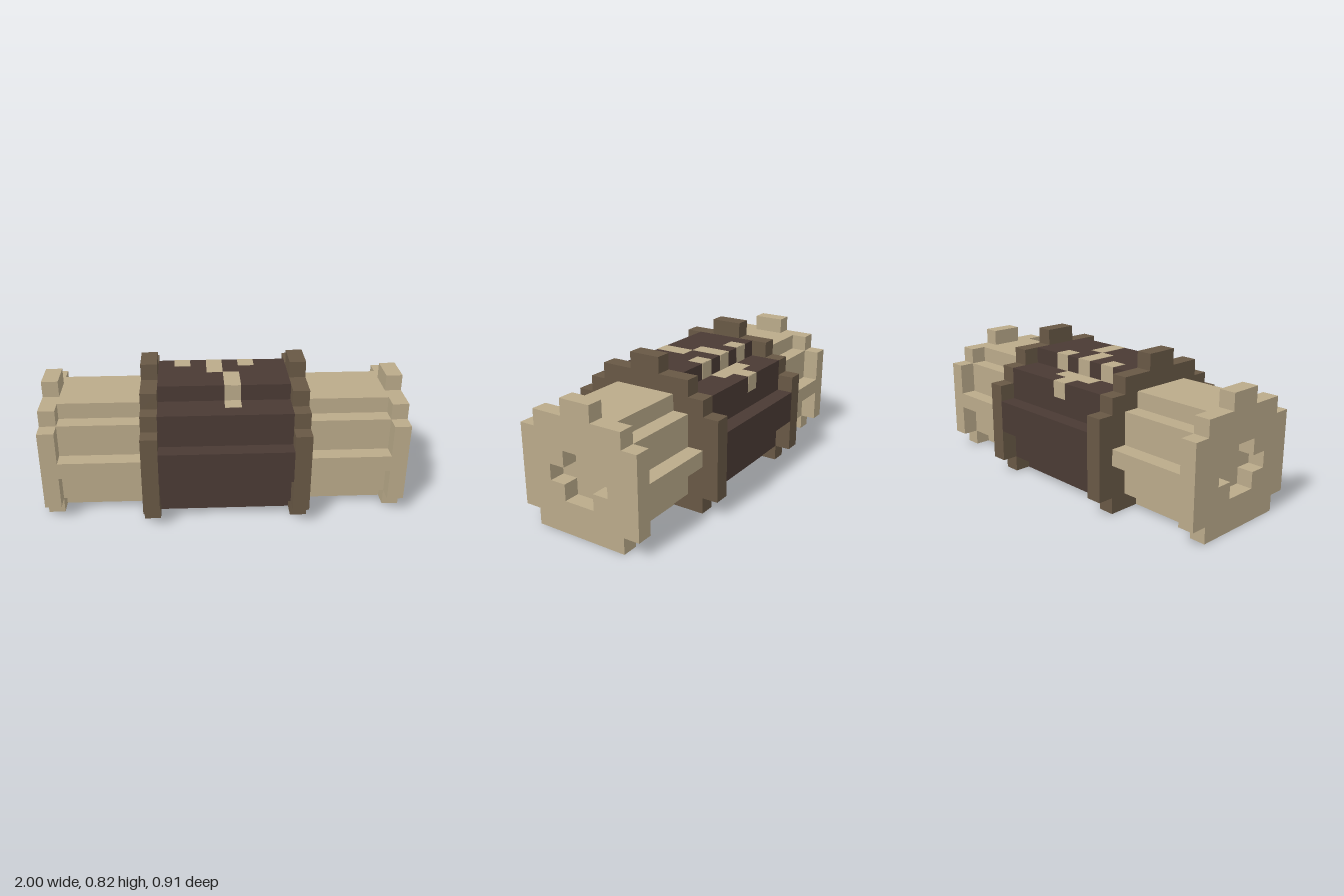
import * as THREE from 'three';

const U = 1 / 11; // size of one block

const mat = (name, color) => {
  const m = new THREE.MeshStandardMaterial({ color });
  m.name = name;
  return m;
};

// Symmetric stepped outline; rows are [bottom, top, halfWidth] in blocks
function steppedPoints(rows) {
  const right = rows.flatMap(([b, t, w]) => [[w, b], [w, t]]);
  const left = right.map(([x, y]) => [-x, y]).reverse();
  return [...right, ...left].map(([x, y]) => new THREE.Vector2(x * U, y * U));
}

// Extrude a stepped outline along x between two block positions
function steppedBar(name, rows, x0, x1, material, holeRows) {
  const shape = new THREE.Shape(steppedPoints(rows));
  if (holeRows) shape.holes.push(new THREE.Path(steppedPoints(holeRows)));
  const geo = new THREE.ExtrudeGeometry(shape, { depth: (x1 - x0) * U, bevelEnabled: false });
  geo.rotateY(Math.PI / 2).translate(x0 * U, 0, 0);
  const mesh = new THREE.Mesh(geo, material);
  mesh.name = name;
  return mesh;
}

export function createModel() {
  const group = new THREE.Group();
  const tan = mat('tan', 0xbaaa8a);
  const brown = mat('brown', 0x685845);
  const dark = mat('darkBrown', 0x4a3a34);

  const coreRows = [[0, 1, 3], [1, 3, 4], [3, 5, 5], [5, 7, 4], [7, 8, 2]];
  const bandRows = [[0, 1, 4], [1, 6, 5], [6, 7, 4], [7, 8, 3], [8, 9, 1]];
  const shaftRows = [[0, 1, 2], [1, 3, 3], [3, 4, 4], [4, 6, 3], [6, 7, 2]];
  const capRows = [[0, 1, 3], [1, 6, 4], [6, 7, 3], [7, 8, 1]];
  const socketRows = [[2, 3, 1], [3, 4, 2], [4, 5, 1]];

  // Middle body
  group.add(steppedBar('core', coreRows, -4, 4, dark));

  // Collar, shaft and socketed cap on both ends
  for (const [side, s] of [['left', 1], ['right', -1]]) {
    const add = (part, rows, a, b, material, hole) => group.add(
      steppedBar(side + part, rows, Math.min(s * a, s * b), Math.max(s * a, s * b), material, hole));
    add('Collar', bandRows, 4, 5, brown);
    add('Shaft', shaftRows, 4.5, 10, tan);
    add('EndCap', capRows, 10, 11, tan, socketRows);
  }

  // Painted emblem, folded over the steps of the core
  const emblem = new THREE.Group();
  emblem.name = 'emblem';
  const T = 0.04; // plate thickness in blocks
  const plate = (x0, x1, y0, y1, z0, z1) => {
    const mesh = new THREE.Mesh(new THREE.BoxGeometry((x1 - x0) * U, (y1 - y0) * U, (z1 - z0) * U), tan);
    mesh.position.set((x0 + x1) / 2 * U, (y0 + y1) / 2 * U, (z0 + z1) / 2 * U);
    mesh.name = 'emblemPlate';
    emblem.add(mesh);
  };
  const flat = (x0, x1, z0, z1, y) => plate(x0, x1, y - T / 2, y + T / 2, z0, z1);
  const upright = (x0, x1, y0, y1, z) => plate(x0, x1, y0, y1, z - T / 2, z + T / 2);
  // upper level
  flat(-1, 0, -2, 0, 8);
  flat(-3, -2, -2, -1, 8);
  flat(1, 2, -2, -1, 8);
  flat(0, 1, 0, 2, 8);
  // lower level
  flat(0, 1, 2, 3, 7);
  flat(-2, 1, -3, -2, 7);
  flat(-1, 0, -4, -3, 7);
  // risers
  upright(0, 1, 7, 8, 2);
  for (const x of [-3, -1, 1]) upright(x, x + 1, 7, 8, -2);
  upright(-1, 0, 6, 7, -4);
  group.add(emblem);

  return group;
}
